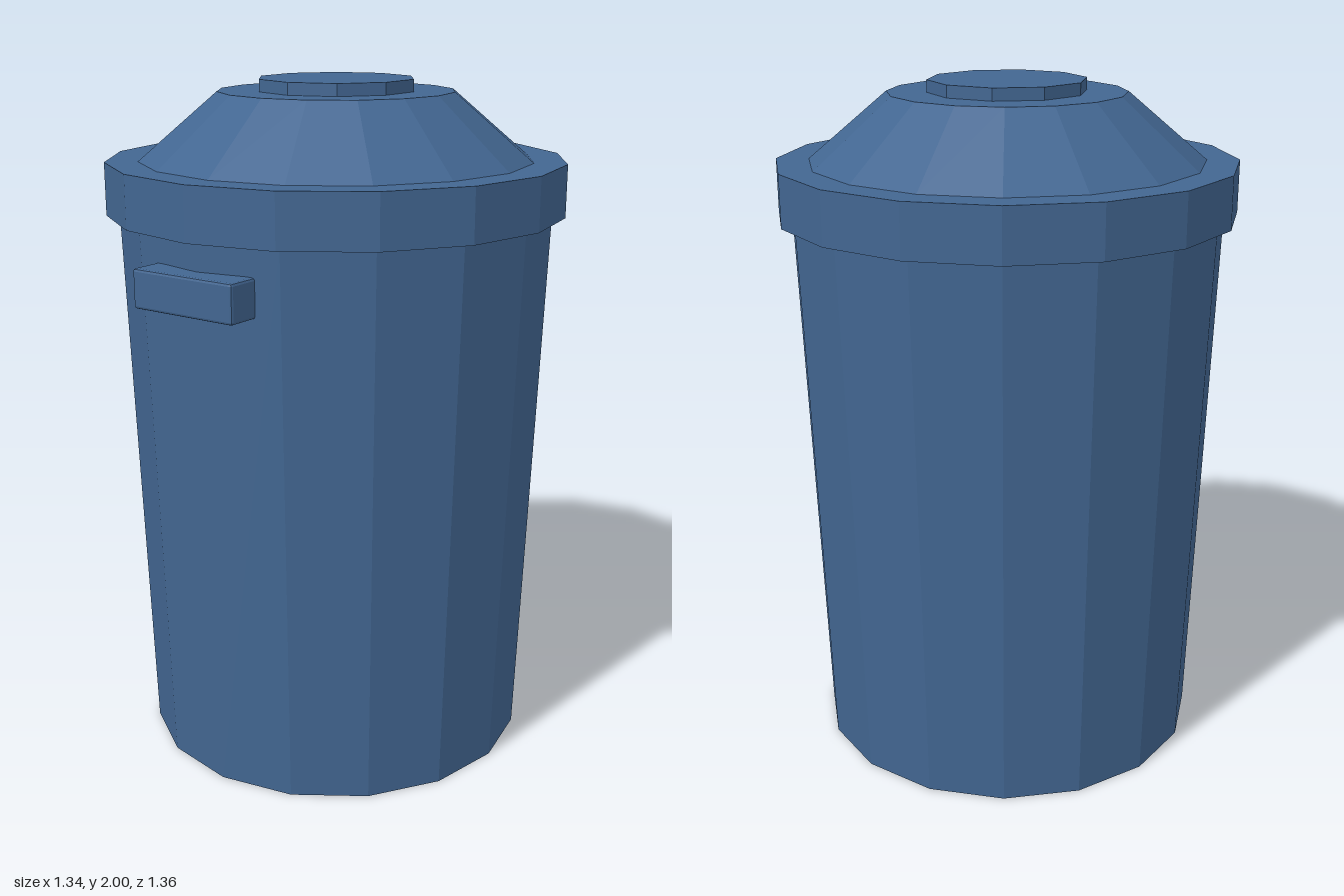
import * as THREE from 'three';
import { RoundedBoxGeometry } from 'three/addons/geometries/RoundedBoxGeometry.js';

export function createModel() {
  const model = new THREE.Group();
  model.name = 'dustbin';
  const blue = new THREE.MeshStandardMaterial({ color: 0x426691, flatShading: true });
  blue.name = 'blue plastic';
  const axisZ = -0.012; // the bin sits slightly back, the handle sticks out in front

  // Faceted ring of the bin between two heights
  function tier(name, y0, y1, r0, r1, sides) {
    const mesh = new THREE.Mesh(new THREE.CylinderGeometry(r1, r0, y1 - y0, sides), blue);
    mesh.name = name;
    mesh.position.set(0, (y0 + y1) / 2, axisZ);
    model.add(mesh);
  }

  tier('body', 0, 1.63, 0.577, 0.632, 16);
  tier('lidRim', 1.62, 1.772, 0.67, 0.67, 16);
  tier('lidDome', 1.77, 1.965, 0.577, 0.345, 16);
  tier('lidKnob', 1.96, 2, 0.23, 0.23, 10);

  // Front grip with slightly bevelled edges
  const handle = new THREE.Mesh(new RoundedBoxGeometry(0.34, 0.11, 0.1, 1, 0.008), blue);
  handle.name = 'frontHandle';
  handle.position.set(0, 1.484, 0.63);
  model.add(handle);

  return model;
}
